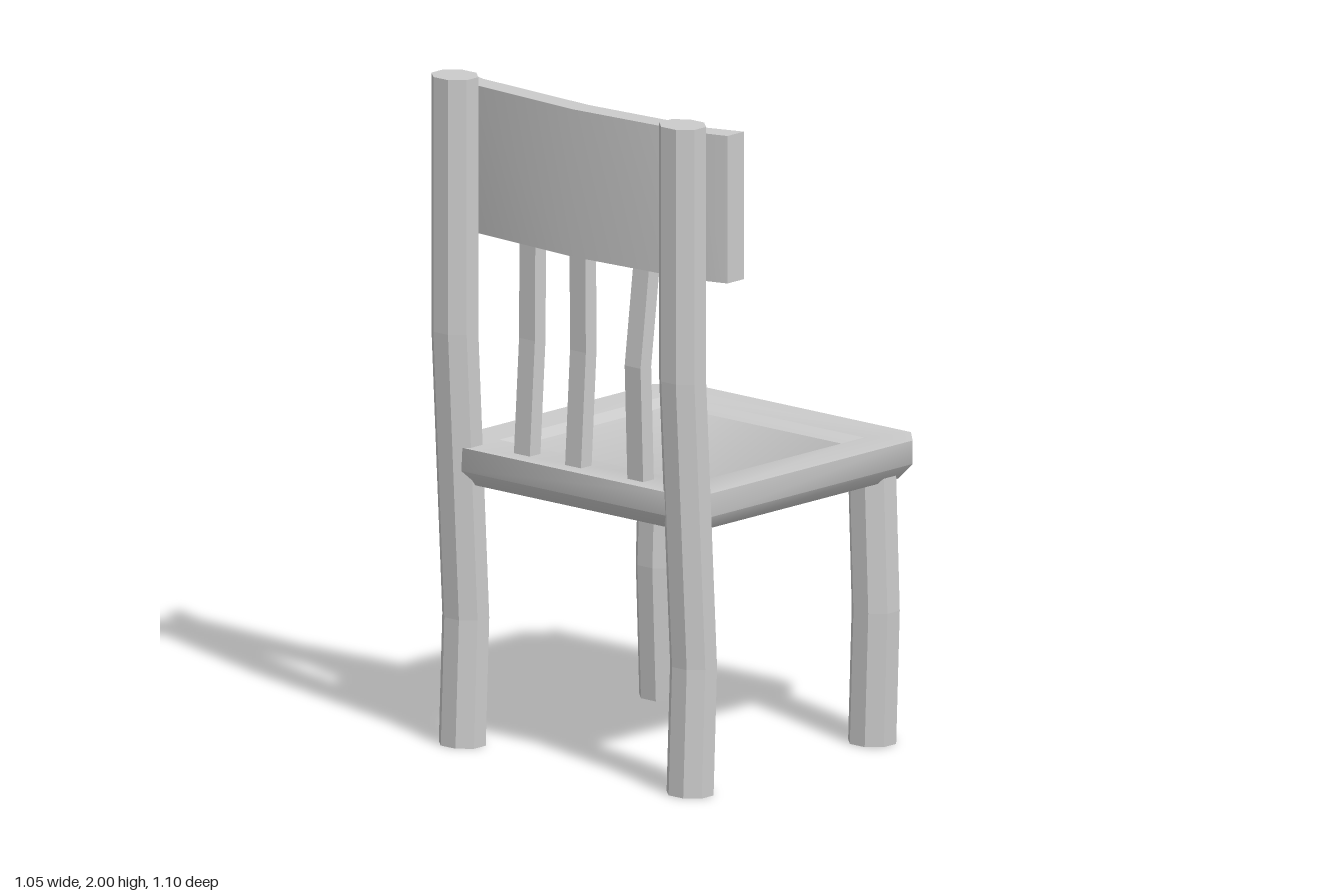
import * as THREE from 'three';
import { toCreasedNormals } from 'three/addons/utils/BufferGeometryUtils.js';

const smooth = new THREE.MeshStandardMaterial({ color: 0xcccccc });
const faceted = new THREE.MeshStandardMaterial({ color: 0xcccccc, flatShading: true, side: THREE.DoubleSide });

// Skin a stack of equal-length rings (each ordered from +x towards +z), bottom to top.
function loft(rings, capBottom = true, capTop = true) {
  const n = rings[0].length;
  const index = [];
  for (let r = 0; r < rings.length - 1; r++) {
    for (let i = 0; i < n; i++) {
      const a = r * n + i, b = r * n + (i + 1) % n;
      index.push(a, a + n, b, b, a + n, b + n);
    }
  }
  const last = (rings.length - 1) * n;
  for (let i = 1; i < n - 1; i++) {
    if (capBottom) index.push(0, i, i + 1);
    if (capTop) index.push(last, last + i + 1, last + i);
  }
  const geo = new THREE.BufferGeometry();
  geo.setAttribute('position', new THREE.Float32BufferAttribute(rings.flat(2), 3));
  geo.setIndex(index);
  return toCreasedNormals(geo, 0.85);
}

// Rectangle with cut corners, always eight points.
function cutRect(x0, x1, z0, z1, y, cut) {
  return [
    [x1, y, z0 + cut], [x1, y, z1 - cut], [x1 - cut, y, z1], [x0 + cut, y, z1],
    [x0, y, z1 - cut], [x0, y, z0 + cut], [x0 + cut, y, z0], [x1 - cut, y, z0],
  ];
}

function octagon(x, y, z, rx, rz) {
  return Array.from({ length: 8 }, (_, i) => {
    const a = (i + 0.5) * Math.PI / 4, k = 1 / Math.cos(Math.PI / 8);
    return [x + Math.cos(a) * rx * k, y, z + Math.sin(a) * rz * k];
  });
}

export function createModel() {
  const group = new THREE.Group();
  const add = (name, geo, mat) => {
    const mesh = new THREE.Mesh(geo, mat);
    mesh.name = name;
    group.add(mesh);
  };

  // Seat slab with rounded underside, cut corners and a sunken panel
  add('seat', loft([
    cutRect(-0.455, 0.49, -0.46, 0.485, 0.785, 0.06),
    cutRect(-0.49, 0.525, -0.495, 0.52, 0.83, 0.072),
    cutRect(-0.49, 0.525, -0.495, 0.52, 0.9, 0.072),
    cutRect(-0.345, 0.385, -0.372, 0.392, 0.9, 0),
    cutRect(-0.325, 0.362, -0.352, 0.37, 0.875, 0),
  ]), smooth);

  // Bent back posts running from the floor to the top
  const postPath = [[-0.435, 0], [-0.42, 0.38], [-0.467, 1.24], [-0.467, 2]];
  for (const [name, z] of [['leftBackPost', 0.457], ['rightBackPost', -0.435]]) {
    add(name, loft(postPath.map(([x, y]) => octagon(x, y, z, 0.061, 0.069)), false), faceted);
  }

  // Front legs, each with a slight bow at mid height
  for (const [name, z, bowX, bowZ] of [['leftFrontLeg', 0.428, 0, 0.014], ['rightFrontLeg', -0.39, -0.015, 0]]) {
    add(name, loft([
      octagon(0.38, 0, z, 0.064, 0.07),
      octagon(0.38 + bowX, 0.4, z + bowZ, 0.064, 0.07),
      octagon(0.38, 0.8, z, 0.064, 0.07),
    ], false), faceted);
  }

  // Back spindles between seat and top rail: x at bottom, bend and top
  const spindles = [
    [0.25, -0.42, -0.432, -0.392],
    [0.005, -0.42, -0.398, -0.4],
    [-0.2, -0.415, -0.392, -0.39],
  ];
  for (const [z, ...xs] of spindles) {
    const rings = xs.map((x, i) => {
      const y = [0.885, 1.24, 1.56][i], hx = 0.023, hz = 0.031;
      return [[x + hx, y, z - hz], [x + hx, y, z + hz], [x - hx, y, z + hz], [x - hx, y, z - hz]];
    });
    add('backSpindle', loft(rings), faceted);
  }

  // Curved top rail: bowed plan extruded upwards
  const front = [[-0.305, -0.55], [-0.342, -0.44], [-0.37, 0], [-0.342, 0.44], [-0.305, 0.55]];
  const back = [[-0.377, 0.55], [-0.41, 0.44], [-0.44, 0], [-0.41, -0.44], [-0.377, -0.55]];
  const plan = new THREE.Shape([...front, ...back].map(([x, z]) => new THREE.Vector2(x, -z)));
  const rail = new THREE.ExtrudeGeometry(plan, { depth: 0.44, bevelEnabled: false });
  rail.rotateX(-Math.PI / 2).translate(0, 1.525, 0);
  add('topRail', toCreasedNormals(rail, 0.6), smooth);

  return group;
}
